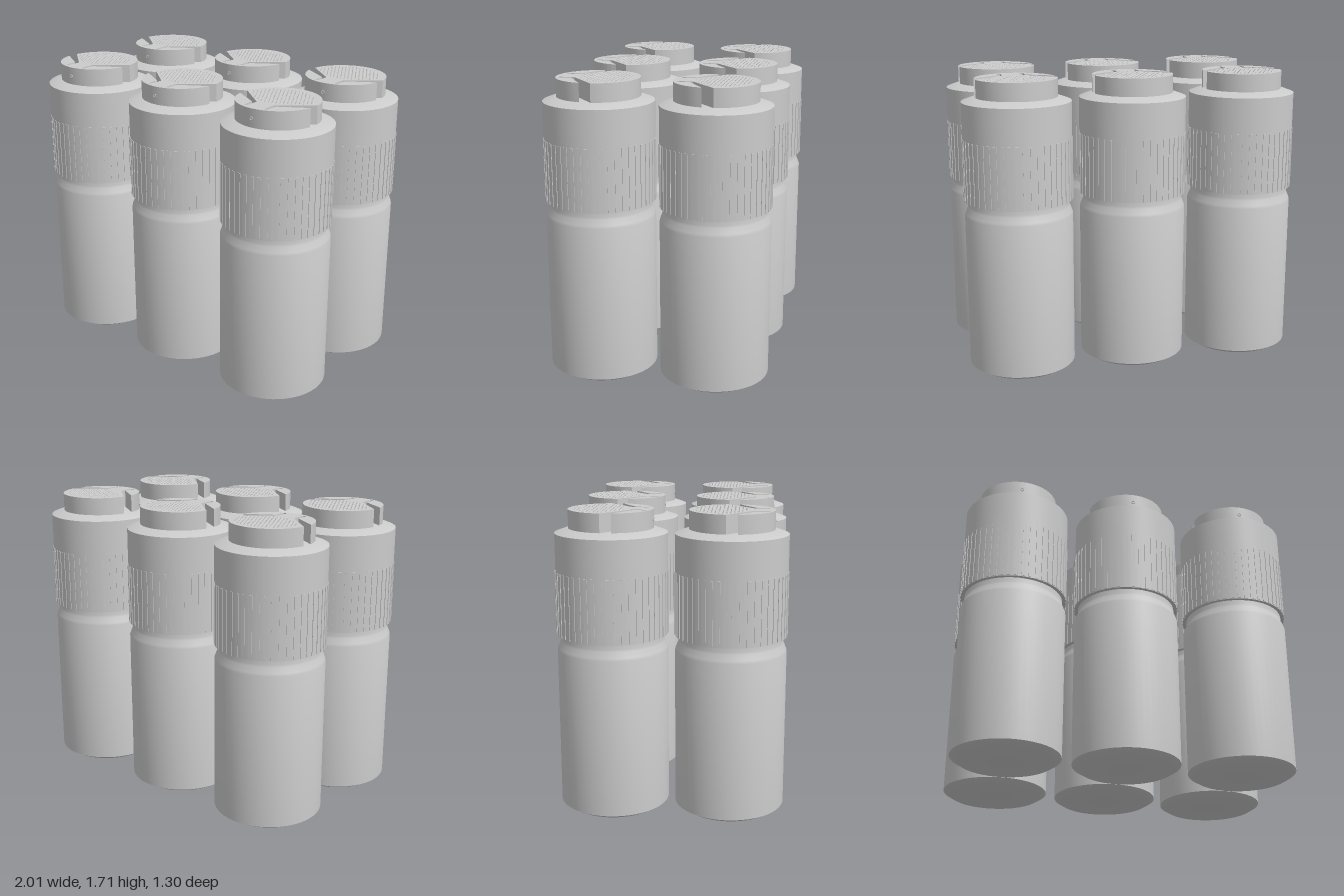
import * as THREE from 'three';
import { mergeGeometries, toCreasedNormals } from 'three/addons/utils/BufferGeometryUtils.js';

const RADIUS = 0.313, CAP_RADIUS = 0.236, TOP = 1.71, CAP_BASE = 1.6;

function lathe(points, segments = 48) {
  const profile = points.map(([r, y]) => new THREE.Vector2(r, y));
  return toCreasedNormals(new THREE.LatheGeometry(profile, segments), 0.62);
}

// Round button with two bent slots running in from the sides; shape y becomes z
function capGeometry() {
  const onCircle = z => Math.sqrt(CAP_RADIUS ** 2 - z * z);
  const backZ = -0.028, frontZ = 0.035;
  const slot = [
    [onCircle(frontZ), frontZ], [0.078, 0.13], [0.078, 0.205],
    [0.056, 0.205], [0.056, 0.118], [onCircle(backZ), backZ],
  ];
  const points = [];
  const arc = (a, b, n) => {
    for (let i = 1; i < n; i++) {
      const t = a + (b - a) * i / n;
      points.push(new THREE.Vector2(CAP_RADIUS * Math.cos(t), CAP_RADIUS * Math.sin(t)));
    }
  };
  const back = Math.asin(backZ / CAP_RADIUS), front = Math.asin(frontZ / CAP_RADIUS);
  arc(front, Math.PI - front, 24);
  slot.forEach(([x, z]) => points.push(new THREE.Vector2(-x, z)));
  arc(Math.PI - back, 2 * Math.PI + back, 28);
  [...slot].reverse().forEach(([x, z]) => points.push(new THREE.Vector2(x, z)));
  const geometry = new THREE.ExtrudeGeometry(new THREE.Shape(points), { depth: TOP - CAP_BASE, bevelEnabled: false });
  geometry.rotateX(Math.PI / 2).translate(0, TOP, 0);
  return toCreasedNormals(geometry, 0.5);
}

// Hexagonally packed grip dots on the rear of the button
function gripGeometry() {
  const dots = [], step = 0.024;
  for (let row = -10; row <= 10; row++) {
    for (let col = -10; col <= 10; col++) {
      const x = (col + (row % 2 ? 0.5 : 0)) * step, z = row * step * 0.866;
      const limit = Math.min(0.1, 0.135 - 0.76 * Math.abs(x));
      if (Math.hypot(x, z) > 0.205 || z > limit) continue;
      dots.push(new THREE.CylinderGeometry(0.006, 0.008, 0.004, 6).translate(x, TOP + 0.001, z));
    }
  }
  return mergeGeometries(dots);
}

// Shallow vertical ribs around the lower collar
function ribGeometry() {
  const ribs = [], count = 48;
  for (let i = 0; i < count; i++) {
    const rib = new THREE.BoxGeometry(0.02, 0.355, 0.012);
    rib.translate(0, 1.193, RADIUS - 0.003).rotateY((i + 0.5) / count * Math.PI * 2);
    ribs.push(rib);
  }
  return mergeGeometries(ribs);
}

export function createModel() {
  const model = new THREE.Group();
  model.name = 'sprayCans';
  const material = new THREE.MeshStandardMaterial({ color: 0xcccccc });

  const parts = {
    // Chamfered foot, straight wall, drawn-in neck
    body: lathe([[0, 0], [0.27, 0], [RADIUS, 0.026], [RADIUS, 0.925], [0.308, 0.94],
      [0.295, 0.972], [0.292, 0.985], [0.292, 1.03], [0, 1.03]]),
    // Sleeve with sloping shoulder
    collar: lathe([[0.27, 1.012], [RADIUS, 1.012], [RADIUS, 1.581], [0.243, 1.606], [0, 1.606]]),
    collarRibs: ribGeometry(),
    sprayButton: capGeometry(),
    gripDots: gripGeometry(),
    nozzle: new THREE.TorusGeometry(0.009, 0.003, 6, 12).translate(0, 1.655, CAP_RADIUS),
  };

  // Two rows of three cans
  for (const z of [0.333, -0.333]) {
    for (const x of [-0.687, 0, 0.687]) {
      const can = new THREE.Group();
      can.name = 'can';
      for (const [name, geometry] of Object.entries(parts)) {
        const mesh = new THREE.Mesh(geometry, material);
        mesh.name = name;
        can.add(mesh);
      }
      can.position.set(x, 0, z);
      model.add(can);
    }
  }
  return model;
}
